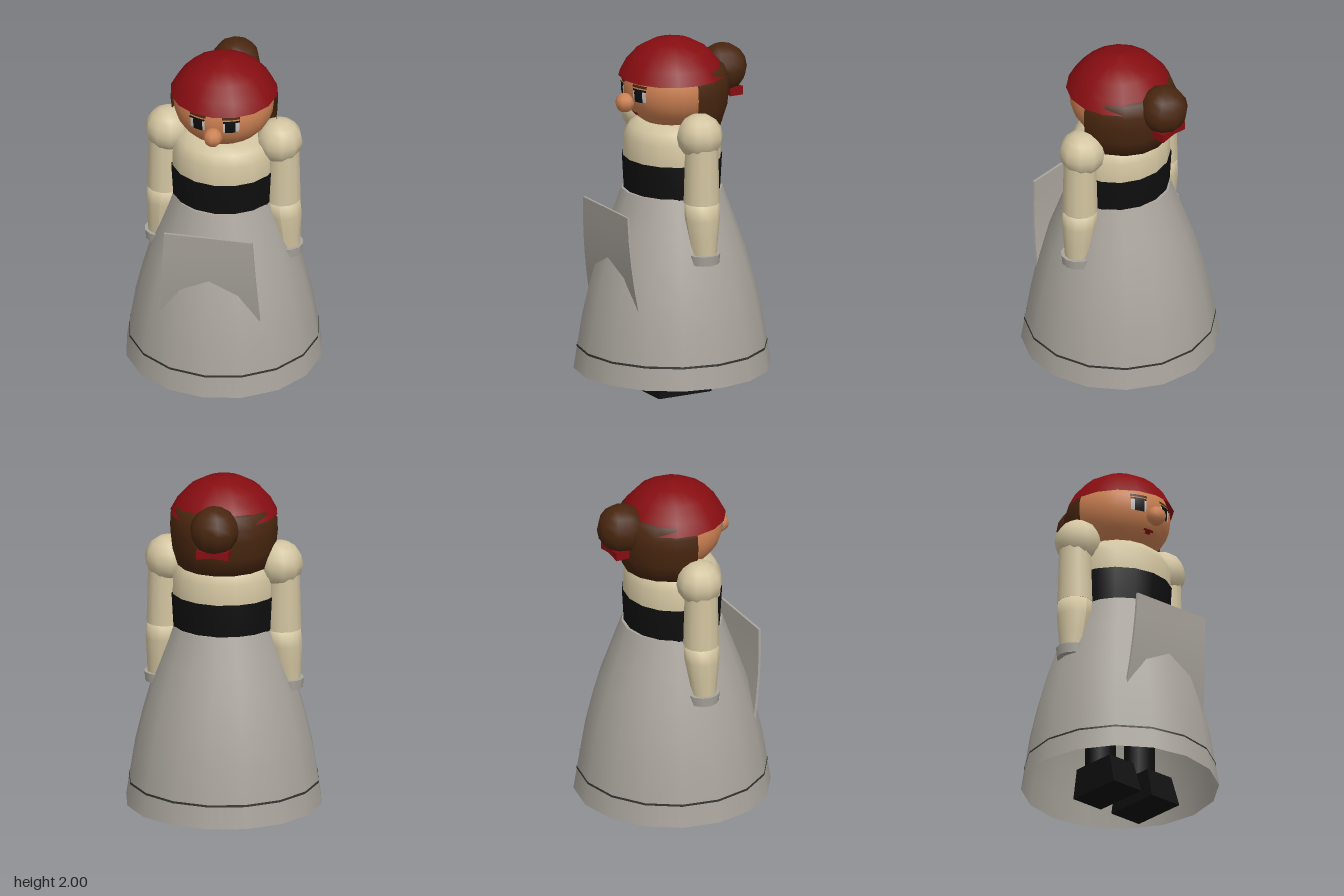
import * as THREE from 'three';

const mat = (name, color) => {
  const m = new THREE.MeshStandardMaterial({ color, side: THREE.DoubleSide });
  m.name = name;
  return m;
};

export function createModel() {
  const root = new THREE.Group();
  root.name = 'doll';
  const grey = mat('grey cloth', 0xa9a49c);
  const cream = mat('cream linen', 0xd2c4a0);
  const black = mat('black', 0x0e0e0e);
  const red = mat('red', 0x860d11);
  const skin = mat('skin', 0xcb8052);
  const hair = mat('brown hair', 0x48260f);
  const line = mat('dark seam', 0x33322f);
  const white = mat('eye white', 0xc4c4c4);

  const add = (name, geo, material, x = 0, y = 0, z = 0, parent = root) => {
    const m = new THREE.Mesh(geo, material);
    m.name = name;
    m.position.set(x, y, z);
    parent.add(m);
    return m;
  };
  const lathe = (pts, seg = 16, start = 0, len = Math.PI * 2) =>
    new THREE.LatheGeometry(pts.map(p => new THREE.Vector2(p[0], p[1])), seg, start, len);

  // Skirt with hem seam, closed at the waist
  add('skirt', lathe([[0.55, 0.11], [0.53, 0.24], [0.5, 0.43], [0.46, 0.6], [0.41, 0.78],
    [0.35, 0.95], [0.282, 1.14]]), grey);
  add('skirtTop', lathe([[0.282, 1.14], [0, 1.141]]), grey);
  add('hemSeam', lathe([[0.5335, 0.233], [0.5315, 0.245]]), line);

  // Torso: blouse and waistband, slightly flattened front to back
  add('blouse', lathe([[0.285, 1.15], [0.292, 1.32], [0.29, 1.44], [0.255, 1.5], [0.2, 1.535],
    [0.1, 1.54]]), cream).scale.z = 0.92;
  add('waistband', lathe([[0.288, 1.135], [0.299, 1.325], [0.285, 1.326]]), black).scale.z = 0.92;

  // Apron: a thin plate bent back into the skirt
  const apron = new THREE.BoxGeometry(1, 1, 0.014, 1, 5, 1);
  const p = apron.attributes.position;
  for (let i = 0; i < p.count; i++) {
    const d = (0.5 - p.getY(i)) * 0.69;
    p.setXYZ(i, p.getX(i) * (0.5 + 0.12 * d), 1.075 - d, p.getZ(i) + 0.418 - 0.01 * d - 0.16 * d * d);
  }
  apron.computeVertexNormals();
  add('apron', apron, grey);
  add('apronTrim', new THREE.BoxGeometry(0.54, 0.05, 0.02), red, 0, 0.36, 0.335);

  // Arms, legs and shoes, mirrored
  for (const s of [1, -1]) {
    const side = s > 0 ? 'left' : 'right';
    const arm = new THREE.Group();
    arm.name = side + 'Arm';
    root.add(arm);
    add('puffSleeve', new THREE.SphereGeometry(0.13, 10, 8), cream, s * 0.315, 1.505, 0, arm);
    add('upperArm', new THREE.CylinderGeometry(0.09, 0.1, 0.37, 12), cream, s * 0.335, 1.315, 0, arm);
    const fore = add('forearm', lathe([[0.068, 0.81], [0.083, 0.93], [0.098, 1.04], [0.097, 1.13],
      [0, 1.131]], 12), cream, s * 0.335, 0, 0, arm);
    const q = fore.geometry.attributes.position;
    for (let i = 0; i < q.count; i++) q.setX(i, q.getX(i) + s * (1.13 - q.getY(i)) * 0.08);
    fore.geometry.computeVertexNormals();
    add('cuff', new THREE.CylinderGeometry(0.094, 0.088, 0.055, 12), grey, s * 0.355, 0.815, 0, arm);

    const leg = new THREE.Group();
    leg.name = side + 'Leg';
    root.add(leg);
    add('stocking', new THREE.CylinderGeometry(0.09, 0.085, 1, 8), black, s * 0.145, 0.63, 0, leg);
    // Shoe block narrowing towards the top
    const shoe = new THREE.BoxGeometry(0.205, 0.18, 0.335);
    const v = shoe.attributes.position;
    for (let i = 0; i < v.count; i++) if (v.getY(i) > 0) {
      v.setX(i, v.getX(i) * 0.86);
      v.setZ(i, v.getZ(i) > 0 ? 0.118 : -0.155);
    }
    shoe.computeVertexNormals();
    add('shoe', shoe, black, s * 0.142, 0.09, 0.0525, leg);
  }

  // Head and nose
  const head = new THREE.Group();
  head.name = 'head';
  root.add(head);
  const HY = 1.73, RX = 0.28, RY = 0.24;
  add('face', new THREE.SphereGeometry(1, 24, 16), skin, 0, HY, 0, head).scale.set(RX, RY, RX);
  add('nose', new THREE.SphereGeometry(0.055, 8, 6), skin, 0, 1.663, 0.3, head);

  // Painted features: thin curved patches lying on the face
  const patch = (name, material, x0, x1, y0, y1, lift) => {
    const t0 = Math.acos((y1 - HY) / RY), t1 = Math.acos((y0 - HY) / RY);
    const k = RX * Math.sin((t0 + t1) / 2);
    const a0 = Math.asin(x0 / k), a1 = Math.asin(x1 / k);
    const g = new THREE.SphereGeometry(lift, 6, 4, Math.PI / 2 + a0, a1 - a0, t0, t1 - t0);
    add(name, g, material, 0, HY, 0, head).scale.set(RX, RY, RX);
  };
  for (const s of [1, -1]) {
    const pair = (name, m, a, b, y0, y1, l) =>
      patch(name, m, Math.min(s * a, s * b), Math.max(s * a, s * b), y0, y1, l);
    pair('eye', white, 0.052, 0.138, 1.685, 1.755, 1.008);
    pair('pupil', black, 0.064, 0.118, 1.682, 1.752, 1.016);
    pair('lash', black, 0.052, 0.14, 1.746, 1.757, 1.018);
    pair('eyebrow', hair, 0.045, 0.14, 1.764, 1.778, 1.012);
  }
  patch('upperLip', red, -0.034, 0.034, 1.594, 1.604, 1.012);
  patch('lowerLip', red, -0.018, 0.018, 1.582, 1.594, 1.012);

  // Headscarf
  add('headscarf', lathe([[0.3, 1.79], [0.263, 1.86], [0.2, 1.93], [0.11, 1.98], [0, 2]]), red, 0, 0, 0, head);

  // Hair shell around the back of the head, with a flat underside
  const back = add('backHair', lathe([[0.1, 1.5], [0.262, 1.5], [0.292, 1.6], [0.303, 1.7], [0.3, 1.77],
    [0.274, 1.835], [0.2, 1.885], [0, 1.92]], 8, Math.PI / 2, Math.PI), hair, 0, 0, 0, head);
  back.scale.z = 1.07;

  // Bun and its ribbon bow
  add('bun', new THREE.SphereGeometry(0.137, 10, 8), hair, 0, 1.782, -0.322, head);
  const bow = new THREE.BoxGeometry(0.18, 0.05, 0.08, 2, 1, 1);
  const b = bow.attributes.position;
  for (let i = 0; i < b.count; i++) if (Math.abs(b.getX(i)) < 0.01) b.setY(i, b.getY(i) * 0.5);
  bow.computeVertexNormals();
  add('ribbonBow', bow, red, 0, 1.658, -0.36, head);

  return root;
}
